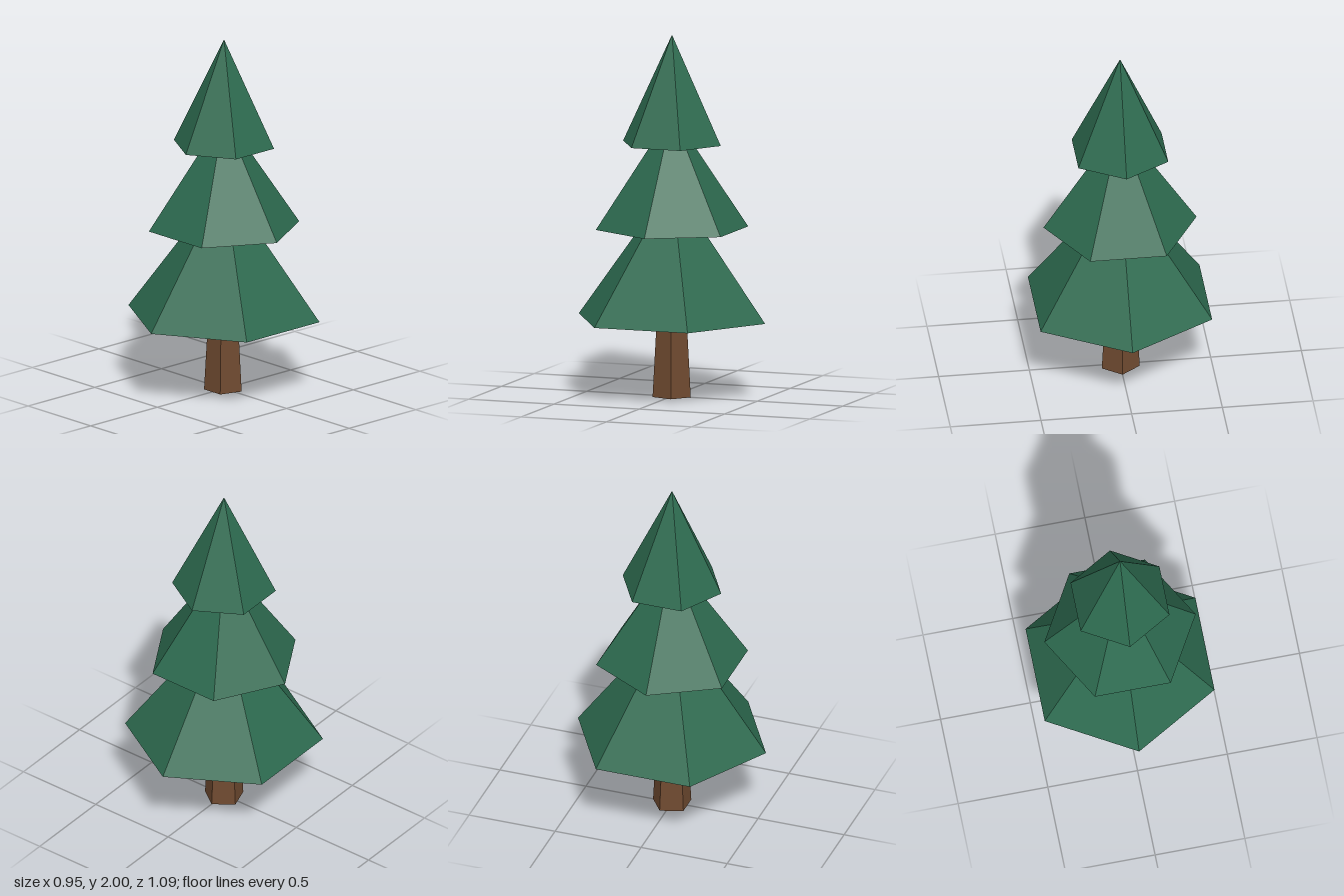
import * as THREE from 'three';

const mat = (name, color) => Object.assign(new THREE.MeshStandardMaterial({ color, flatShading: true }), { name });

export function createModel() {
  const tree = new THREE.Group();
  tree.name = 'pineTree';
  const bark = mat('barkBrown', 0x6f4a30);
  const needles = mat('needleGreen', 0x2d6a4f);

  const add = (name, geometry, material, y) => {
    const mesh = new THREE.Mesh(geometry, material);
    mesh.name = name;
    mesh.position.y = y;
    tree.add(mesh);
  };

  // Tapered five-sided trunk with its flat side to the front, sunk into the lowest tier
  const trunkHeight = 0.47;
  add('trunk', new THREE.CylinderGeometry(0.084, 0.11, trunkHeight, 5, 1, false, Math.PI), bark, trunkHeight / 2);

  // Six-sided foliage cones, each tip hidden in the tier above; the middle one is turned by half a side
  const tiers = [
    { name: 'lowerFoliage', radius: 0.546, base: 0.43, tip: 1.18, turn: 0 },
    { name: 'middleFoliage', radius: 0.422, base: 0.93, tip: 1.57, turn: Math.PI / 6 },
    { name: 'upperFoliage', radius: 0.286, base: 1.4, tip: 2, turn: 0 },
  ];
  for (const { name, radius, base, tip, turn } of tiers) {
    add(name, new THREE.ConeGeometry(radius, tip - base, 6, 1, false, turn), needles, (base + tip) / 2);
  }
  return tree;
}
